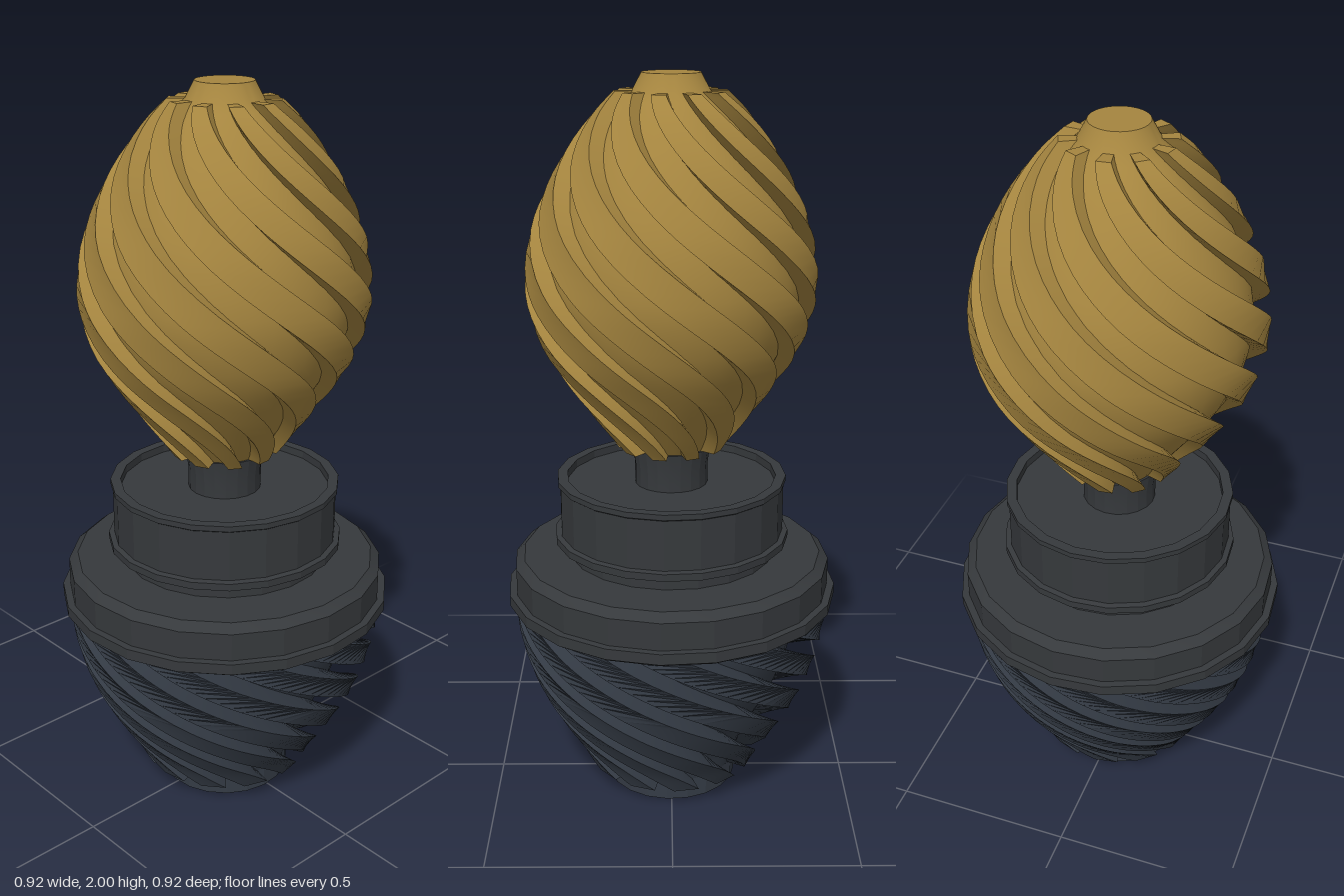
import * as THREE from 'three';
import { toCreasedNormals } from 'three/addons/utils/BufferGeometryUtils.js';

const RAD = Math.PI / 180;
const gold = new THREE.MeshStandardMaterial({ color: 0xa5853f });
const iron = new THREE.MeshStandardMaterial({ color: 0x343b45 });
const steel = new THREE.MeshStandardMaterial({ color: 0x36393c });

// Turned part from [radius, height] points, listed from bottom to top
function turned(name, points, sides, material, crease = 15) {
  const pts = points.map(([r, y]) => new THREE.Vector2(r, y));
  const lathe = new THREE.LatheGeometry(pts, sides, -4 * RAD);
  const mesh = new THREE.Mesh(toCreasedNormals(lathe, crease * RAD), material);
  mesh.name = name;
  return mesh;
}

// Smooth radius along a list of [radius, height] points
function profile(points) {
  return new THREE.CatmullRomCurve3(points.map(([r, y]) => new THREE.Vector3(r, y, 0)));
}

// One rectangular rib, swept up the profile while it turns about y
function ribGeometry(curve, depth, halfWidth, twist, steps = 36) {
  const pos = [], index = [];
  for (let k = 0; k <= steps; k++) {
    const t = k / steps;
    const p = curve.getPoint(t);
    const y0 = curve.getPoint(0).y, y1 = curve.getPoint(1).y;
    const angle = twist * ((p.y - y0) / (y1 - y0) - 1);
    const h = halfWidth(t), rin = p.x - depth(t) - 0.012;
    for (const [r, a] of [[rin, -h], [p.x, -h], [p.x, h], [rin, h]]) {
      pos.push(r * Math.cos((angle + a) * RAD), p.y, r * Math.sin((angle + a) * RAD));
    }
  }
  for (let k = 0; k < steps; k++) {
    for (let i = 0; i < 4; i++) {
      const a = k * 4 + i, b = k * 4 + (i + 1) % 4;
      index.push(a, a + 4, b + 4, a, b + 4, b);
    }
  }
  const e = steps * 4;
  index.push(0, 1, 2, 0, 2, 3, e, e + 2, e + 1, e, e + 3, e + 2);
  const geo = new THREE.BufferGeometry();
  geo.setAttribute('position', new THREE.Float32BufferAttribute(pos, 3));
  geo.setIndex(index);
  return toCreasedNormals(geo, 35 * RAD);
}

// Core plus a ring of equal twisted ribs
function ribbedBody(name, o) {
  const group = new THREE.Group();
  group.name = name;
  const curve = profile(o.points);
  const core = [];
  for (let k = 0; k <= 24; k++) {
    const p = curve.getPoint(k / 24);
    core.push([p.x - o.depth(k / 24), p.y]);
  }
  group.add(turned(name + 'Core', [[0, core[0][1]], ...core, ...o.top], 40, o.material, 30));
  const geo = ribGeometry(curve, o.depth, o.halfWidth, o.twist);
  for (let i = 0; i < o.count; i++) {
    const rib = new THREE.Mesh(geo, o.material);
    rib.name = name + 'Rib';
    rib.rotation.y = -(o.phase + i * 360 / o.count) * RAD;
    group.add(rib);
  }
  return group;
}

export function createModel() {
  const model = new THREE.Group();

  // Foot under the base
  model.add(turned('foot', [[0, 0], [0.185, 0], [0.185, 0.07], [0, 0.07]], 20, iron));

  // Ribbed bowl of the base
  model.add(ribbedBody('base', {
    points: [[0.24, 0.06], [0.27, 0.12], [0.32, 0.2], [0.375, 0.3], [0.413, 0.4], [0.435, 0.5], [0.44, 0.575]],
    depth: t => 0.055 + 0.03 * Math.min(1, t * 3),
    halfWidth: () => 8.5,
    top: [[0, 0.575]],
    twist: 135, count: 12, phase: 5, material: iron,
  }));

  // Stepped collar with flange, upper ring and shallow rim
  model.add(turned('collar', [
    [0, 0.565], [0.445, 0.565], [0.46, 0.575], [0.46, 0.605], [0.44, 0.605], [0.44, 0.682],
    [0.415, 0.703], [0.285, 0.703], [0.285, 0.74], [0.325, 0.745], [0.325, 0.765],
    [0.31, 0.768], [0.31, 0.908], [0.316, 0.912], [0.316, 0.927], [0.288, 0.927], [0.288, 0.905], [0, 0.905],
  ], 20, steel));

  // Neck that carries the finial
  model.add(turned('neck', [[0.1, 0.9], [0.1, 0.96], [0.107, 1.012], [0, 1.012]], 20, steel));

  // Twisted finial with a small flat tip
  model.add(ribbedBody('finial', {
    points: [[0.145, 1.012], [0.21, 1.1], [0.283, 1.2], [0.345, 1.3], [0.378, 1.4], [0.386, 1.48],
      [0.368, 1.6], [0.33, 1.7], [0.275, 1.8], [0.2, 1.9], [0.145, 1.955]],
    depth: () => 0.045,
    halfWidth: t => 7.5 + 2 * Math.sin(Math.PI * t),
    top: [[0.076, 2], [0, 2]],
    twist: -180 * -1, count: 10, phase: -5, material: gold,
  }));

  return model;
}
